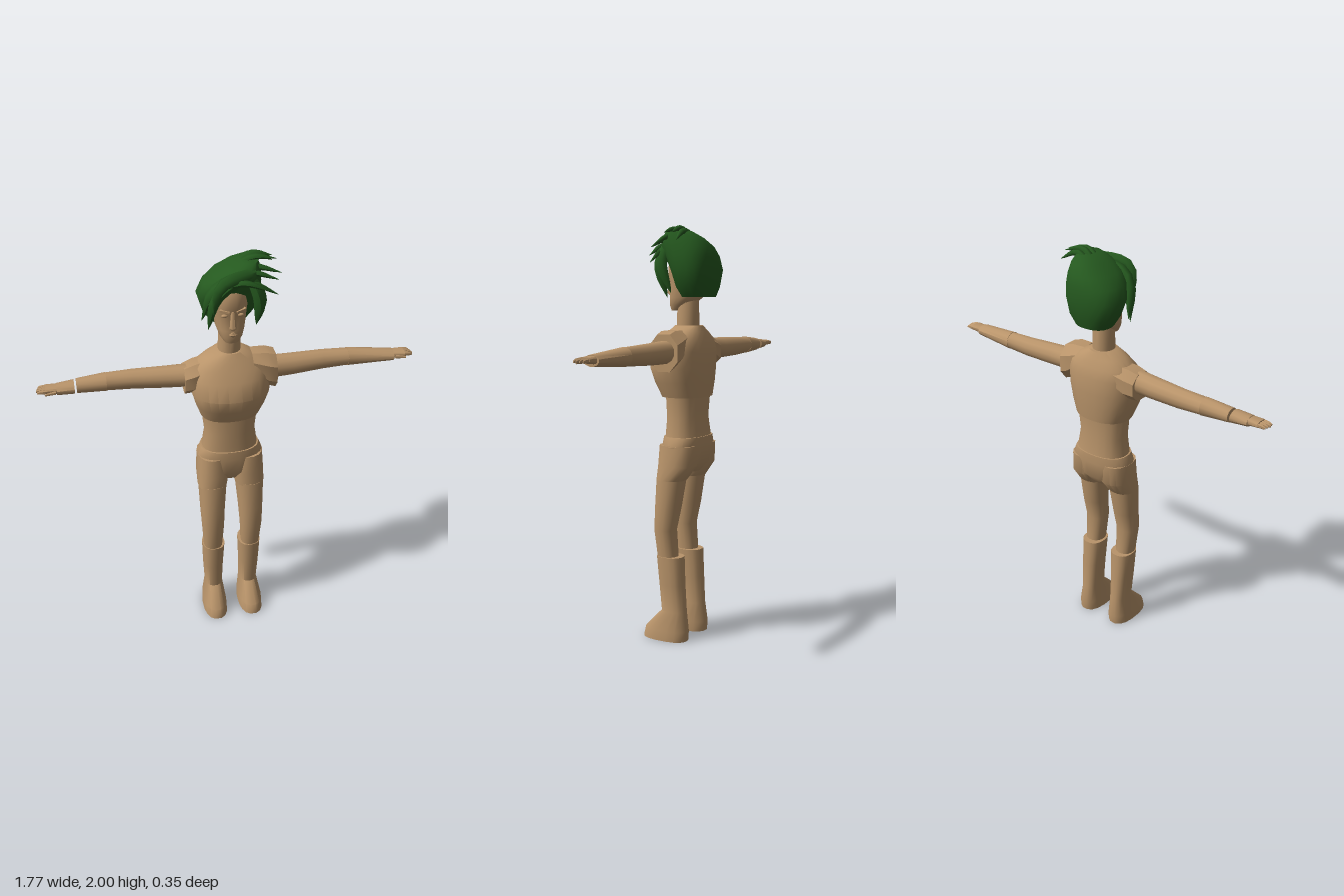
import * as THREE from 'three';
import { toCreasedNormals } from 'three/addons/utils/BufferGeometryUtils.js';

const skin = new THREE.MeshStandardMaterial({ color: 0xb9946a });
skin.name = 'tan skin';
const green = new THREE.MeshStandardMaterial({ color: 0x25591f });
green.name = 'dark green hair';

// Closed loft. Each section is [t, u0, u1, v0, v1], t rising.
// Axis 'y': u = x, v = z. Axis 'x': u = z, v = y. Exponent n squares the ring.
function loft(name, sections, { axis = 'y', sides = 16, n = 2, mat = skin, crease = 0.7 } = {}) {
  const pos = [], index = [];
  const put = (t, u, v) => (axis === 'y' ? pos.push(u, t, v) : pos.push(t, v, u));
  const bend = (c) => Math.sign(c) * Math.abs(c) ** (2 / n);
  sections.forEach(([t, u0, u1, v0, v1]) => {
    for (let j = 0; j < sides; j++) {
      const a = ((j + 0.5) / sides) * Math.PI * 2;
      put(t, (u0 + u1) / 2 + (bend(Math.cos(a)) * (u1 - u0)) / 2,
        (v0 + v1) / 2 + (bend(Math.sin(a)) * (v1 - v0)) / 2);
    }
  });
  const last = sections.length - 1;
  for (const i of [0, last]) {
    const [t, u0, u1, v0, v1] = sections[i];
    put(t, (u0 + u1) / 2, (v0 + v1) / 2);
  }
  const low = sections.length * sides, high = low + 1;
  for (let j = 0; j < sides; j++) {
    const k = (j + 1) % sides;
    for (let i = 0; i < last; i++) {
      const a = i * sides + j, b = i * sides + k;
      index.push(a, a + sides, b, b, a + sides, b + sides);
    }
    index.push(low, j, k, high, last * sides + k, last * sides + j);
  }
  const geo = new THREE.BufferGeometry();
  geo.setAttribute('position', new THREE.Float32BufferAttribute(pos, 3));
  geo.setIndex(index);
  const mesh = new THREE.Mesh(toCreasedNormals(geo, crease), mat);
  mesh.name = name;
  return mesh;
}

// Loft symmetric about x = 0, from [y, half width, back, front]
const centred = (name, list, opt) => loft(name, list.map(([y, w, a, b]) => [y, -w, w, a, b]), opt);

// Side mirroring of sections
const sideX = (s, list) => list.map(([t, a, b, c, d]) => (s > 0 ? [t, a, b, c, d] : [t, -b, -a, c, d]));
const sideT = (s, list) => (s > 0 ? list : list.map(([t, ...r]) => [-t, ...r]).reverse());

// Tapered lock of hair from start to tip, its middle pushed out by bulge
function lock(start, tip, bulge, radius) {
  const a = new THREE.Vector3(...start), b = new THREE.Vector3(...tip);
  const mid = a.clone().add(b).multiplyScalar(0.5).add(new THREE.Vector3(...bulge));
  const curve = new THREE.CatmullRomCurve3([a, mid, b]);
  const steps = 8, radial = 6;
  const geo = new THREE.TubeGeometry(curve, steps, 1, radial);
  const p = geo.attributes.position, v = new THREE.Vector3();
  for (let i = 0; i <= steps; i++) {
    const f = i / steps, c = curve.getPointAt(f);
    const r = radius * (0.6 + 2 * f) * (1 - f) + 0.0005;
    for (let j = 0; j <= radial; j++) {
      const k = i * (radial + 1) + j;
      v.fromBufferAttribute(p, k).sub(c).multiplyScalar(r).add(c);
      p.setXYZ(k, v.x, v.y, v.z);
    }
  }
  geo.computeVertexNormals();
  const mesh = new THREE.Mesh(geo, green);
  mesh.name = 'hairLock';
  return mesh;
}

function makeLeg(s) {
  const leg = new THREE.Group();
  leg.name = s > 0 ? 'leftLeg' : 'rightLeg';
  leg.add(
    loft('hipLobe', sideX(s, [[0.8, 0.02, 0.165, -0.052, 0.092], [0.87, 0.005, 0.166, -0.104, 0.087],
      [0.97, 0.01, 0.16, -0.11, 0.08]]), { n: 2.3 }),
    loft('thigh', sideX(s, [[0.41, 0.05, 0.143, -0.012, 0.09], [0.55, 0.042, 0.153, 0, 0.107],
      [0.66, 0.035, 0.158, -0.025, 0.102], [0.81, 0.022, 0.163, -0.05, 0.093]]), { n: 2.2 }),
    loft('shinAndFoot', sideX(s, [[0, 0.033, 0.157, -0.065, 0.175], [0.05, 0.035, 0.155, -0.069, 0.163],
      [0.145, 0.047, 0.137, -0.056, 0.072], [0.28, 0.043, 0.145, -0.047, 0.082],
      [0.42, 0.036, 0.15, -0.04, 0.095]]), { n: 2.4 }),
  );
  return leg;
}

function makeArm(s) {
  const arm = new THREE.Group();
  arm.name = s > 0 ? 'leftArm' : 'rightArm';
  const add = (name, list, opt = {}) => arm.add(loft(name, sideT(s, list), { axis: 'x', sides: 12, ...opt }));
  add('upperArm', [[0.17, -0.065, 0.048, 1.365, 1.475], [0.3, -0.07, 0.035, 1.366, 1.47],
    [0.45, -0.075, 0.017, 1.371, 1.466], [0.575, -0.071, 0.015, 1.378, 1.461]]);
  // The right forearm stops short of a separate wrist piece
  const elbow = [0.57, -0.073, 0.017, 1.376, 1.463];
  if (s > 0) {
    add('forearm', [elbow, [0.79, -0.052, 0.028, 1.39, 1.441]]);
  } else {
    add('forearm', [elbow, [0.705, -0.06, 0.017, 1.385, 1.45]]);
    add('wrist', [[0.715, -0.06, 0.024, 1.388, 1.446], [0.795, -0.05, 0.025, 1.393, 1.439]]);
  }
  add('palm', [[0.775, -0.042, 0.016, 1.4, 1.436], [0.845, -0.045, 0.019, 1.407, 1.434]], { n: 3 });
  // Four fingers and a thumb
  for (let i = 0; i < 4; i++) {
    const z = -0.036 + i * 0.0155, tip = 0.887 - 0.004 * Math.abs(i - 2);
    add('finger', [[0.835, z - 0.0075, z + 0.0075, 1.409, 1.432], [tip - 0.012, z - 0.007, z + 0.007, 1.41, 1.429],
      [tip, z - 0.003, z + 0.003, 1.412, 1.422]], { sides: 6 });
  }
  add('thumb', [[0.8, 0.008, 0.024, 1.404, 1.424], [0.85, 0.018, 0.025, 1.404, 1.415]], { sides: 6 });
  return arm;
}

function makeHead() {
  const head = new THREE.Group();
  head.name = 'head';
  head.add(
    centred('skull', [[1.608, 0.034, 0.005, 0.068], [1.635, 0.053, -0.04, 0.076], [1.67, 0.066, -0.085, 0.074],
      [1.75, 0.08, -0.13, 0.07], [1.775, 0.082, -0.138, 0.08], [1.83, 0.083, -0.14, 0.076],
      [1.88, 0.068, -0.13, 0.058], [1.91, 0.03, -0.08, 0.02]], { sides: 20, n: 2.3 }),
    centred('nose', [[1.682, 0.017, 0.05, 0.086], [1.692, 0.016, 0.05, 0.097],
      [1.77, 0.009, 0.05, 0.081]], { sides: 8 }),
    centred('upperLip', [[1.654, 0.024, 0.05, 0.08], [1.667, 0.008, 0.05, 0.077]], { sides: 10 }),
    centred('lowerLip', [[1.64, 0.01, 0.05, 0.076], [1.652, 0.02, 0.05, 0.08]], { sides: 10 }),
  );
  // Brow ridges and eyes
  for (const s of [1, -1]) {
    const brow = new THREE.Mesh(new THREE.BoxGeometry(0.045, 0.009, 0.016), skin);
    brow.name = 'brow';
    brow.position.set(s * 0.037, 1.772, 0.071);
    brow.rotation.set(0, s * 0.3, s * 0.15);
    const eye = new THREE.Mesh(new THREE.SphereGeometry(0.013, 10, 8), skin);
    eye.name = 'eye';
    eye.scale.set(1.2, 0.6, 0.7);
    eye.position.set(s * 0.036, 1.746, 0.063);
    head.add(brow, eye);
  }
  return head;
}

function makeHair() {
  const hair = new THREE.Group();
  hair.name = 'hair';
  hair.add(loft('hairCap', [[1.672, -0.085, 0.09, -0.15, -0.005], [1.72, -0.115, 0.125, -0.165, 0.018],
    [1.8, -0.14, 0.146, -0.175, 0.042], [1.86, -0.115, 0.148, -0.17, 0.07],
    [1.905, -0.07, 0.142, -0.158, 0.088], [1.945, -0.01, 0.136, -0.125, 0.08],
    [1.975, 0.045, 0.125, -0.08, 0.045]], { sides: 20, n: 2.4, mat: green, crease: 0.9 }));
  // Fringe sweeping to the right side
  for (const tip of [[-0.107, 1.67, 0.04], [-0.128, 1.7, 0], [-0.09, 1.77, 0.085]]) {
    hair.add(lock([0.1, 1.94, 0.05], tip, [-0.06, 0.05, 0.03], 0.034));
  }
  // Side locks on the left
  for (const tip of [[0.115, 1.67, 0.03], [0.13, 1.69, 0]]) {
    hair.add(lock([0.08, 1.92, 0.05], tip, [0.02, 0.02, 0.03], 0.034));
  }
  // Crown locks fanned from front to back, blown toward the left
  const tips = [[0.16, 1.865, 0.1], [0.205, 1.83, 0.07], [0.205, 1.9, 0.065], [0.225, 1.915, 0.03],
    [0.21, 1.965, -0.01], [0.2, 1.965, -0.045], [0.205, 1.93, -0.07]];
  tips.forEach((tip, i) => {
    const f = i / (tips.length - 1);
    hair.add(lock([-0.09 + 0.11 * f, 1.86 + 0.06 * f, 0.06 - 0.14 * f], tip, [0, 0.05, 0.015], 0.019));
  });
  return hair;
}

export function createModel() {
  const model = new THREE.Group();
  model.name = 'figure';
  // Torso
  model.add(
    centred('chest', [[1.2, 0.14, -0.12, 0.095], [1.27, 0.165, -0.127, 0.128], [1.34, 0.184, -0.13, 0.15],
      [1.42, 0.183, -0.13, 0.118], [1.47, 0.168, -0.118, 0.088], [1.51, 0.115, -0.1, 0.065],
      [1.538, 0.062, -0.086, 0.045]], { sides: 24, n: 2.3 }),
    centred('waist', [[1, 0.137, -0.112, 0.075], [1.1, 0.122, -0.1, 0.07],
      [1.21, 0.134, -0.106, 0.072]], { sides: 20, n: 2.3 }),
    centred('hips', [[0.835, 0.06, -0.07, 0.05], [0.88, 0.14, -0.105, 0.078],
      [0.965, 0.162, -0.116, 0.082], [1.01, 0.142, -0.116, 0.08]], { sides: 20, n: 2.4 }),
    centred('neck', [[1.52, 0.053, -0.07, 0.038], [1.66, 0.049, -0.07, 0.036]]),
  );
  // Shoulder caps differ: a tall one on the left, a smaller one on the right
  const cap = { axis: 'x', sides: 8, n: 2.2, crease: 0.4 };
  model.add(
    loft('leftShoulderCap', [[0.1, -0.085, 0.07, 1.41, 1.522], [0.17, -0.093, 0.08, 1.34, 1.522],
      [0.213, -0.088, 0.072, 1.322, 1.508]], cap),
    loft('rightShoulderCap', [[-0.217, -0.085, 0.062, 1.332, 1.472], [-0.17, -0.098, 0.065, 1.335, 1.488],
      [-0.1, -0.105, 0.045, 1.38, 1.495]], cap),
  );
  for (const s of [1, -1]) model.add(makeLeg(s), makeArm(s));
  model.add(makeHead(), makeHair());
  return model;
}
